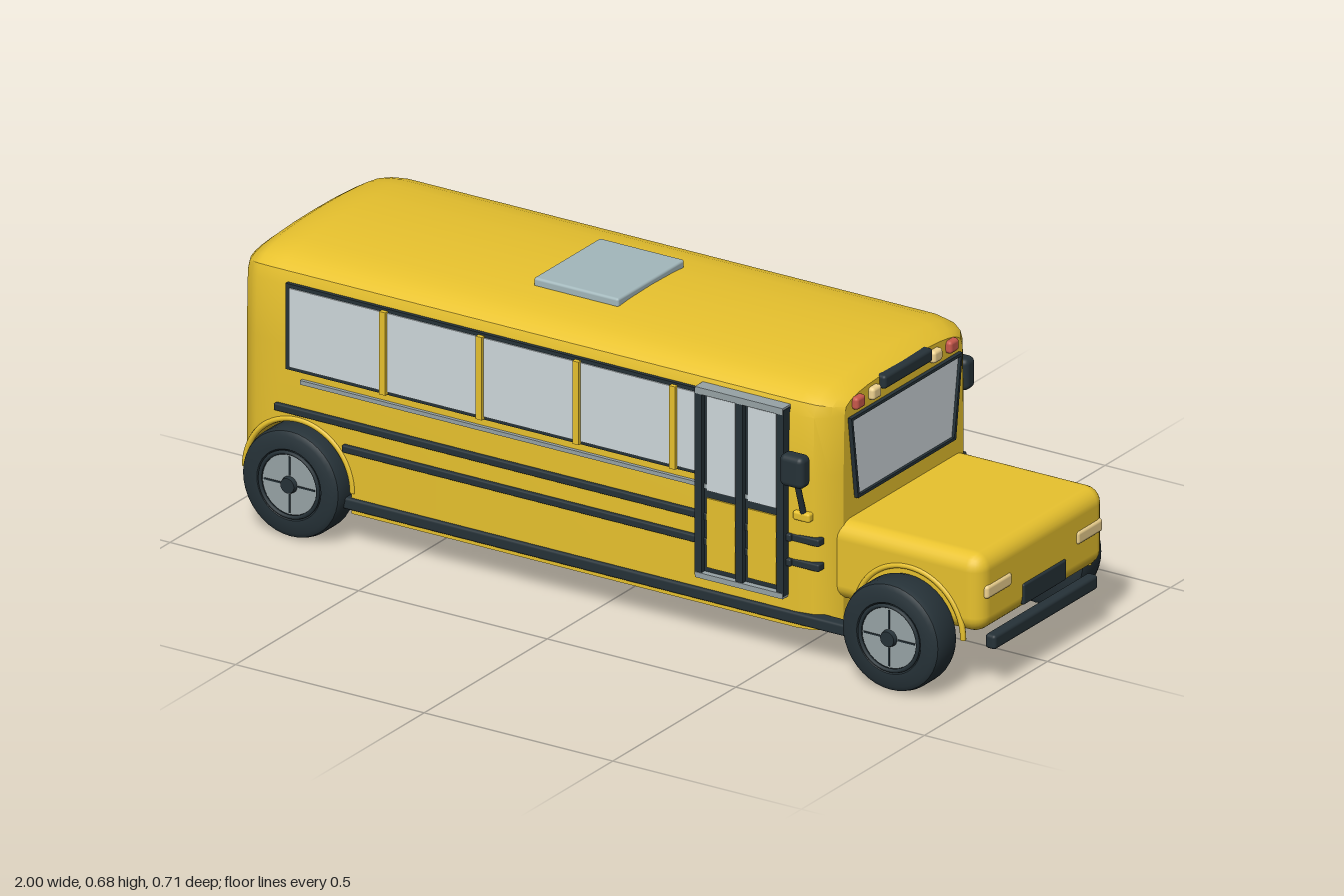
import * as THREE from 'three';
import { toCreasedNormals } from 'three/addons/utils/BufferGeometryUtils.js';
import { RoundedBoxGeometry } from 'three/addons/geometries/RoundedBoxGeometry.js';

const paint = (color) => new THREE.MeshStandardMaterial({ color });
const YELLOW = paint(0xe8c22e), DARK = paint(0x263238), GLASS = paint(0xcfd8dc), HATCH = paint(0xa3b8bc),
  METAL = paint(0x97a3a6), RED = paint(0xc9594c), CREAM = paint(0xf0d491);

function add(parent, name, geometry, material) {
  const mesh = new THREE.Mesh(geometry, material);
  mesh.name = name;
  parent.add(mesh);
  return mesh;
}

// box given by its min and max on each axis
function box(parent, name, material, [x0, x1], [y0, y1], [z0, z1], radius = 0) {
  const size = [x1 - x0, y1 - y0, z1 - z0];
  const geo = radius ? new RoundedBoxGeometry(...size, 3, radius) : new THREE.BoxGeometry(...size);
  geo.translate((x0 + x1) / 2, (y0 + y1) / 2, (z0 + z1) / 2);
  return add(parent, name, geo, material);
}

// skin over equal closed rings of [x, y, z], ordered along +x
function loft(rings) {
  const n = rings[0].length, index = [];
  for (let i = 0; i < rings.length - 1; i++) {
    for (let j = 0; j < n; j++) {
      const a = i * n + j, b = i * n + (j + 1) % n;
      index.push(a, a + n, b, b, a + n, b + n);
    }
  }
  const last = (rings.length - 1) * n;
  for (let j = 1; j < n - 1; j++) index.push(0, j, j + 1, last, last + j + 1, last + j);
  const geo = new THREE.BufferGeometry();
  geo.setAttribute('position', new THREE.Float32BufferAttribute(rings.flat(2), 3));
  geo.setIndex(index);
  return toCreasedNormals(geo, 0.5);
}

const REAR = -0.79, FRONT = 0.8, AXLE = 0.13, ARCH = 0.14;

// x, half width, roof height: rounded at both ends
const plan = [[-0.965, 0.235, 0.62], [-0.945, 0.272, 0.638], [-0.915, 0.293, 0.658], [-0.87, 0.3, 0.665],
  [0.53, 0.3, 0.665], [0.57, 0.293, 0.659], [0.6, 0.272, 0.647], [0.618, 0.243, 0.636]];

function bodyRing(x, bottom) {
  let k = 0;
  while (k < plan.length - 2 && x > plan[k + 1][0]) k++;
  const t = (x - plan[k][0]) / (plan[k + 1][0] - plan[k][0]);
  const w = THREE.MathUtils.lerp(plan[k][1], plan[k + 1][1], t);
  const roof = THREE.MathUtils.lerp(plan[k][2], plan[k + 1][2], t);
  const crown = (y) => 0.59 + (y - 0.59) * (roof - 0.59) / 0.075;
  const half = [[1, bottom], [1, 0.29], [1, 0.45], [0.985, 0.59], [0.955, crown(0.62)], [0.88, crown(0.636)],
    [0.76, crown(0.648)], [0.6, crown(0.656)], [0.3, crown(0.663)]];
  const left = half.map(([f, y]) => [x, y, f * w]);
  const right = half.map(([f, y]) => [x, y, -f * w]).reverse();
  return [...left, [x, roof, 0], ...right];
}

function bodyGeometry() {
  const floor = 0.08, stations = plan.map((p) => [p[0], floor]).filter(([x]) => Math.abs(x - REAR) > ARCH);
  stations.push([REAR - ARCH, floor]);
  // rear wheel arch
  for (let i = 0; i <= 16; i++) {
    const a = Math.PI * (1 - i / 16);
    stations.push([REAR + ARCH * Math.cos(a), AXLE + ARCH * Math.sin(a)]);
  }
  stations.push([REAR + ARCH, floor]);
  stations.sort((p, q) => (Math.abs(p[0] - q[0]) < 1e-6 ? (p[0] < REAR ? p[1] - q[1] : q[1] - p[1]) : p[0] - q[0]));
  return loft(stations.map(([x, y]) => bodyRing(x, y)));
}

// wheel centred on its axle, outer face toward +z
function makeWheel(name) {
  const wheel = new THREE.Group();
  wheel.name = name;
  const profile = [[0, -0.044], [0.115, -0.044], [0.126, -0.037], [0.13, -0.025], [0.13, 0.025],
    [0.126, 0.037], [0.115, 0.044], [0.085, 0.044], [0.08, 0.036], [0, 0.036]].map((p) => new THREE.Vector2(...p));
  add(wheel, 'tyre', toCreasedNormals(new THREE.LatheGeometry(profile, 40).rotateX(Math.PI / 2), 0.6), DARK);
  add(wheel, 'hubDisc', new THREE.CylinderGeometry(0.072, 0.072, 0.008, 32).rotateX(Math.PI / 2), METAL).position.z = 0.037;
  add(wheel, 'rimRing', new THREE.TorusGeometry(0.077, 0.005, 6, 40), DARK).position.z = 0.043;
  for (let i = 0; i < 4; i++) {
    const spoke = add(wheel, 'hubGroove', new THREE.BoxGeometry(0.045, 0.004, 0.002).translate(0.045, 0, 0.042), DARK);
    spoke.rotation.z = i * Math.PI / 2;
  }
  add(wheel, 'hubCap', new THREE.CylinderGeometry(0.018, 0.022, 0.016, 20).rotateX(Math.PI / 2), DARK).position.z = 0.043;
  return wheel;
}

// upright pane in the yz plane, wider at the top if wanted
function pane(parent, name, x, yLow, yHigh, wLow, wHigh, dir) {
  const outline = (g) => [[-wLow - g, yLow - g], [wLow + g, yLow - g], [wHigh + g, yHigh + g], [-wHigh - g, yHigh + g]]
    .map((p) => new THREE.Vector2(...p));
  const plate = (shape, depth) => new THREE.ExtrudeGeometry(shape, { depth, bevelEnabled: false })
    .rotateY(dir * Math.PI / 2).translate(x, 0, 0);
  const frame = new THREE.Shape(outline(0.007));
  frame.holes.push(new THREE.Path(outline(0)));
  add(parent, name + 'Frame', plate(frame, 0.012), DARK);
  add(parent, name + 'Glass', plate(new THREE.Shape(outline(0)), 0.005), GLASS);
}

export function createModel() {
  const bus = new THREE.Group();
  bus.name = 'bus';
  add(bus, 'body', bodyGeometry(), YELLOW);
  box(bus, 'hood', YELLOW, [0.54, 0.99], [0.145, 0.335], [-0.257, 0.257], 0.04);
  box(bus, 'roofHatch', HATCH, [-0.275, -0.05], [0.655, 0.678], [-0.135, 0.135], 0.006);

  for (const s of [1, -1]) {
    const side = new THREE.Group();
    side.name = s > 0 ? 'leftSide' : 'rightSide';
    bus.add(side);
    const span = (a, b) => (s > 0 ? [a, b] : [-b, -a]);

    // window row
    box(side, 'windowSurround', DARK, [-0.822, 0.468], [0.39, 0.597], span(0.28, 0.303));
    for (let i = 0; i < 5; i++) {
      const x = -0.815 + i * 0.256;
      box(side, 'sideWindow', GLASS, [x + 0.004, x + 0.252], [0.398, 0.588], span(0.29, 0.306));
    }
    for (let i = 1; i < 5; i++) {
      const x = -0.815 + i * 0.256;
      box(side, 'windowPillar', YELLOW, [x - 0.008, x + 0.008], [0.392, 0.592], span(0.29, 0.314));
    }

    // trim strips and sill
    box(side, 'windowStrip', METAL, [-0.78, 0.45], [0.364, 0.374], span(0.29, 0.309));
    for (const y of [0.295, 0.235]) {
      const start = y < 0.25 ? -0.67 : -0.85;
      box(side, 'sideStripe', DARK, [start, 0.52], [y - 0.009, y + 0.009], span(0.29, 0.31), 0.004);
      box(side, 'cornerStripe', DARK, [0.51, 0.59], [y - 0.009, y + 0.009], span(0.27, 0.302), 0.004);
    }
    box(side, 'sillRail', DARK, [-0.67, 0.69], [0.09, 0.118], span(0.275, 0.308), 0.006);

    // wheels and arch lips
    for (const [x, end, z] of [[REAR, 'rear', 0.298], [FRONT, 'front', 0.255]]) {
      const wheel = makeWheel(end + 'Wheel');
      wheel.position.set(x, AXLE, s * 0.295);
      if (s < 0) wheel.rotation.y = Math.PI;
      side.add(wheel);
      add(side, end + 'ArchLip', new THREE.TorusGeometry(0.143, 0.007, 8, 32, Math.PI), YELLOW).position.set(x, AXLE, s * z);
    }

    // mirror on its arm
    box(side, 'mirror', DARK, [0.517, 0.58], [0.438, 0.515], span(0.314, 0.355), 0.014);
    const arm = new THREE.LineCurve3(new THREE.Vector3(0.55, 0.45, s * 0.33), new THREE.Vector3(0.55, 0.36, s * 0.302));
    add(side, 'mirrorArm', new THREE.TubeGeometry(arm, 1, 0.007, 8), DARK);
    box(side, 'mirrorMount', YELLOW, [0.525, 0.57], [0.342, 0.364], span(0.285, 0.31), 0.006);

    // lamps
    box(side, 'headlight', CREAM, [0.97, 0.995], [0.23, 0.262], span(0.133, 0.235), 0.008);
    box(side, 'redRoofLamp', RED, [0.6, 0.632], [0.592, 0.622], span(0.172, 0.208), 0.008);
    box(side, 'amberRoofLamp', CREAM, [0.6, 0.632], [0.592, 0.622], span(0.106, 0.142), 0.008);
    box(side, 'tailLight', RED, [-0.978, -0.95], [0.175, 0.215], span(0.135, 0.2), 0.008);
  }

  // folding passenger door
  const door = new THREE.Group();
  door.name = 'door';
  bus.add(door);
  box(door, 'doorBack', DARK, [0.275, 0.508], [0.155, 0.605], [0.28, 0.307]);
  for (const x of [0.282, 0.391, 0.5]) box(door, 'doorPost', DARK, [x - 0.009, x + 0.009], [0.155, 0.605], [0.29, 0.32]);
  for (const x of [0.299, 0.408]) {
    box(door, 'doorGlass', GLASS, [x, x + 0.075], [0.36, 0.588], [0.29, 0.311]);
    box(door, 'doorPanel', YELLOW, [x, x + 0.075], [0.175, 0.342], [0.29, 0.311]);
  }
  box(door, 'doorHeader', METAL, [0.275, 0.508], [0.594, 0.61], [0.28, 0.322]);
  box(door, 'doorStep', METAL, [0.275, 0.508], [0.15, 0.163], [0.28, 0.322]);

  // front end
  pane(bus, 'windshield', 0.616, 0.385, 0.572, 0.192, 0.219, 1);
  box(bus, 'signBox', DARK, [0.59, 0.634], [0.604, 0.637], [-0.098, 0.098], 0.008);
  box(bus, 'grille', DARK, [0.97, 0.995], [0.165, 0.215], [-0.087, 0.087], 0.005);
  box(bus, 'frontBumper', DARK, [0.97, 0.998], [0.1, 0.135], [-0.21, 0.21], 0.008);

  // rear end
  pane(bus, 'rearWindow', -0.963, 0.415, 0.565, 0.17, 0.17, -1);
  box(bus, 'rearPlate', GLASS, [-0.978, -0.95], [0.135, 0.18], [-0.075, 0.075], 0.005);
  add(bus, 'exhaustPipe', new THREE.CylinderGeometry(0.017, 0.017, 0.08, 20).rotateZ(Math.PI / 2), DARK)
    .position.set(-0.962, 0.105, -0.16);
  return bus;
}
